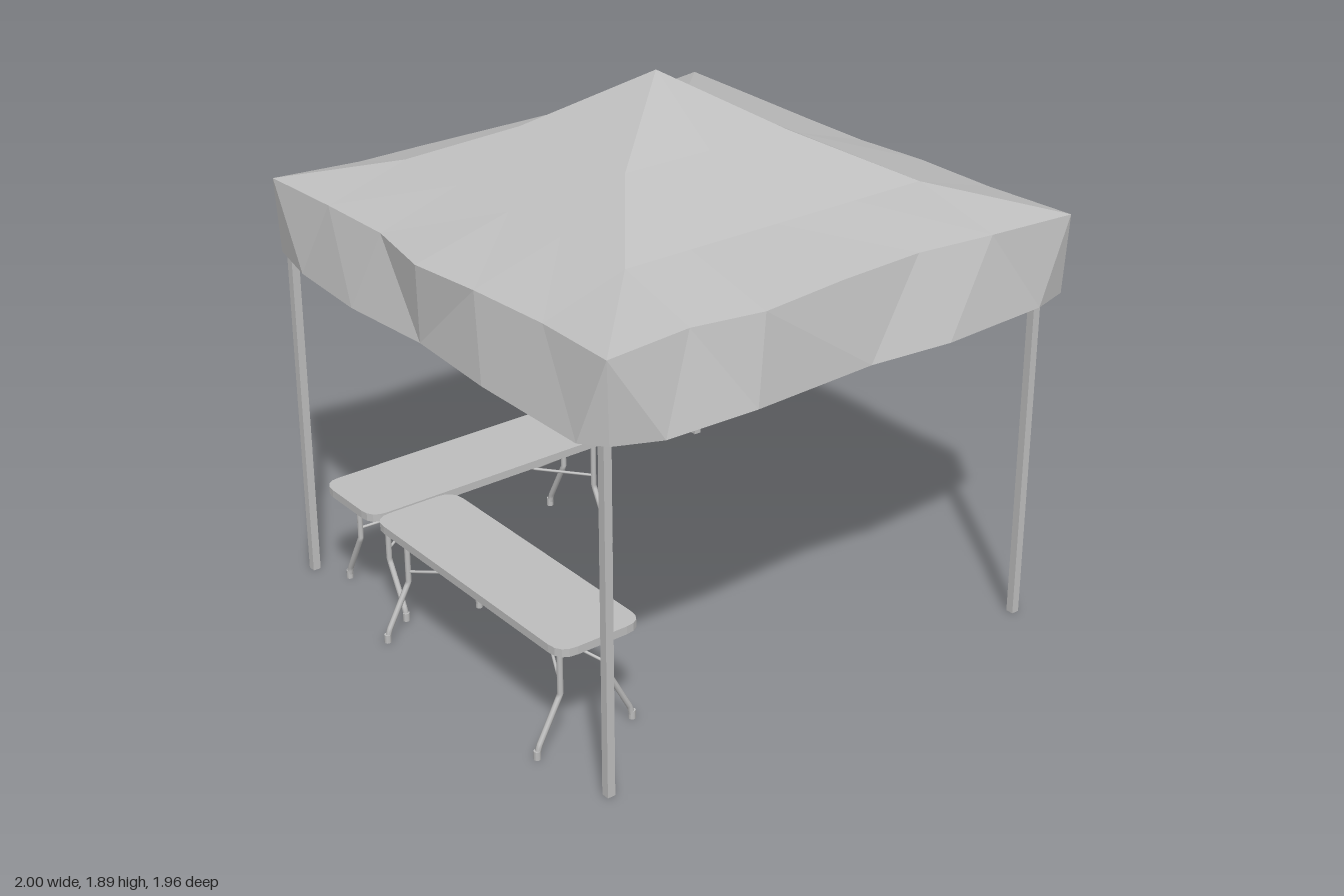
import * as THREE from 'three';

const grey = new THREE.MeshStandardMaterial({ color: 0xbebebe, side: THREE.DoubleSide });
grey.name = 'grey';

function add(parent, name, geometry, x = 0, y = 0, z = 0) {
  const mesh = new THREE.Mesh(geometry, grey);
  mesh.name = name;
  mesh.position.set(x, y, z);
  parent.add(mesh);
  return mesh;
}

// Flat-shaded surface from a list of triangles of [x, y, z] corners
function facets(triangles) {
  const geometry = new THREE.BufferGeometry();
  geometry.setAttribute('position', new THREE.Float32BufferAttribute(triangles.flat(2), 3));
  geometry.computeVertexNormals();
  return geometry;
}

// Straight round rod between two points
function rod(parent, name, a, b, radius) {
  const from = new THREE.Vector3(...a), to = new THREE.Vector3(...b);
  const dir = to.clone().sub(from);
  const mesh = add(parent, name, new THREE.CylinderGeometry(radius, radius, dir.length(), 8));
  mesh.position.copy(from).add(to).multiplyScalar(0.5);
  mesh.quaternion.setFromUnitVectors(new THREE.Vector3(0, 1, 0), dir.normalize());
}

// Canopy roof: a 7 x 7 grid whose height falls ring by ring from the peak
function roofPoints() {
  const xs = [-0.92, -0.59, -0.285, 0, 0.27, 0.59, 0.92];
  const zs = [-0.89, -0.57, -0.29, 0.03, 0.36, 0.605, 0.92];
  const heights = [1.89, 1.695, 1.55, 1.46];
  const back = [-0.89, -0.88, -0.87, -0.865, -0.89, -0.885, -0.89];
  const front = [0.915, 0.9, 0.895, 0.95, 0.92, 0.9, 0.92];
  const left = [0.95, 0.92, 0.885, 0.9, 0.935, 0.89, 0.92];
  const right = [-0.945, -0.88, -0.885, -0.885, -0.885, -0.88, -0.92];
  return xs.map((x, i) => zs.map((z, j) => {
    const ring = Math.max(Math.abs(i - 3), Math.abs(j - 3));
    const px = i === 0 ? right[j] : i === 6 ? left[j] : x;
    const pz = j === 0 ? back[i] : j === 6 ? front[i] : z;
    return [px, heights[ring] + (i === 6 ? 0.01 : 0), pz];
  }));
}

function roof(p) {
  const tris = [];
  for (let i = 0; i < 6; i++) for (let j = 0; j < 6; j++) {
    const a = p[i][j], b = p[i][j + 1], c = p[i + 1][j + 1], d = p[i + 1][j];
    // cell diagonals follow the four ridges
    if ((i < 3) === (j < 3)) tris.push([a, b, c], [a, c, d]);
    else tris.push([a, b, d], [b, c, d]);
  }
  return facets(tris);
}

// Valance: cloth hanging from the eave down to a wavy hem
function valance(p) {
  const eave = [];
  for (let k = 0; k < 6; k++) eave.push(p[k][6]);
  for (let k = 6; k > 0; k--) eave.push(p[6][k]);
  for (let k = 6; k > 0; k--) eave.push(p[k][0]);
  for (let k = 0; k < 6; k++) eave.push(p[0][k]);
  const hem = [
    [-0.91, 0.905], [-0.7, 0.95], [-0.36, 0.97], [0, 0.945], [0.37, 0.97], [0.84, 0.97],
    [0.915, 0.91], [0.98, 0.76], [0.99, 0.43], [0.97, -0.03], [1, -0.33], [0.98, -0.74],
    [0.94, -0.88], [0.75, -0.93], [0.4, -0.975], [0, -0.985], [-0.4, -0.975], [-0.745, -0.985],
    [-0.94, -0.88], [-0.99, -0.72], [-0.995, -0.45], [-0.95, 0.06], [-0.98, 0.52], [-0.945, 0.72],
  ].map(([x, z]) => [x, 1.2, z]);
  const tris = [];
  for (let k = 0; k < 24; k++) {
    const n = (k + 1) % 24;
    const a = eave[k], b = hem[k], c = hem[n], d = eave[n];
    if (k % 6 < 3) tris.push([a, b, c], [a, c, d]);
    else tris.push([a, b, d], [b, c, d]);
  }
  return facets(tris);
}

// Folding table, long side along x
function table(name) {
  const group = new THREE.Group();
  group.name = name;
  const L = 0.53, W = 0.157, cut = 0.065;

  // rounded top
  const s = new THREE.Shape();
  s.moveTo(-L + cut, -W);
  s.lineTo(L - cut, -W);
  s.quadraticCurveTo(L, -W, L, -W + cut);
  s.lineTo(L, W - cut);
  s.quadraticCurveTo(L, W, L - cut, W);
  s.lineTo(-L + cut, W);
  s.quadraticCurveTo(-L, W, -L, W - cut);
  s.lineTo(-L, -W + cut);
  s.quadraticCurveTo(-L, -W, -L + cut, -W);
  const top = new THREE.ExtrudeGeometry(s, { depth: 0.028, bevelEnabled: false, curveSegments: 4 });
  top.rotateX(-Math.PI / 2);
  add(group, 'tableTop', top, 0, 0.39, 0);

  for (const e of [-1, 1]) {
    const x = e * 0.432;
    for (const w of [-1, 1]) {
      // bent leg with foot
      const path = new THREE.CurvePath();
      const pts = [[0.092, 0.392], [0.092, 0.2], [0.178, 0.04], [0.185, 0]]
        .map(([z, y]) => new THREE.Vector3(x, y, w * z));
      for (let k = 0; k < 3; k++) path.add(new THREE.LineCurve3(pts[k], pts[k + 1]));
      add(group, 'leg', new THREE.TubeGeometry(path, 24, 0.01, 8));
      add(group, 'foot', new THREE.CylinderGeometry(0.012, 0.012, 0.03, 8), x, 0.015, w * 0.184);
      rod(group, 'legBrace', [x, 0.238, w * 0.092], [e * 0.235, 0.29, 0], 0.005);
    }
    rod(group, 'topBrace', [e * 0.235, 0.29, 0], [e * 0.09, 0.38, 0], 0.005);
    rod(group, 'legCrossbar', [x, 0.375, -0.092], [x, 0.375, 0.092], 0.006);
  }
  rod(group, 'braceBar', [-0.09, 0.38, 0], [0.09, 0.38, 0], 0.006);
  return group;
}

export function createModel() {
  const model = new THREE.Group();
  model.name = 'canopyTent';

  // cloth
  const points = roofPoints();
  add(model, 'canopyRoof', roof(points));
  add(model, 'canopyValance', valance(points));

  // posts and eave rails
  const px = 0.866, zFront = 0.89, zBack = -0.84, zMid = (zFront + zBack) / 2;
  for (const z of [zFront, zBack]) {
    for (const x of [-px, px]) add(model, 'post', new THREE.BoxGeometry(0.028, 1.42, 0.028), x, 0.71, z);
    add(model, 'crossRail', new THREE.BoxGeometry(2 * px, 0.035, 0.02), 0, 1.4, z);
  }
  for (const x of [-px, px]) {
    add(model, 'sideRail', new THREE.BoxGeometry(0.02, 0.035, zFront - zBack), x, 1.4, zMid);
  }

  // two tables set in an L
  const frontTable = table('frontTable');
  frontTable.position.set(0.148, 0, 0.767);
  const sideTable = table('sideTable');
  sideTable.position.set(-0.548, 0, 0.395);
  sideTable.rotation.y = Math.PI / 2;
  model.add(frontTable, sideTable);
  return model;
}
